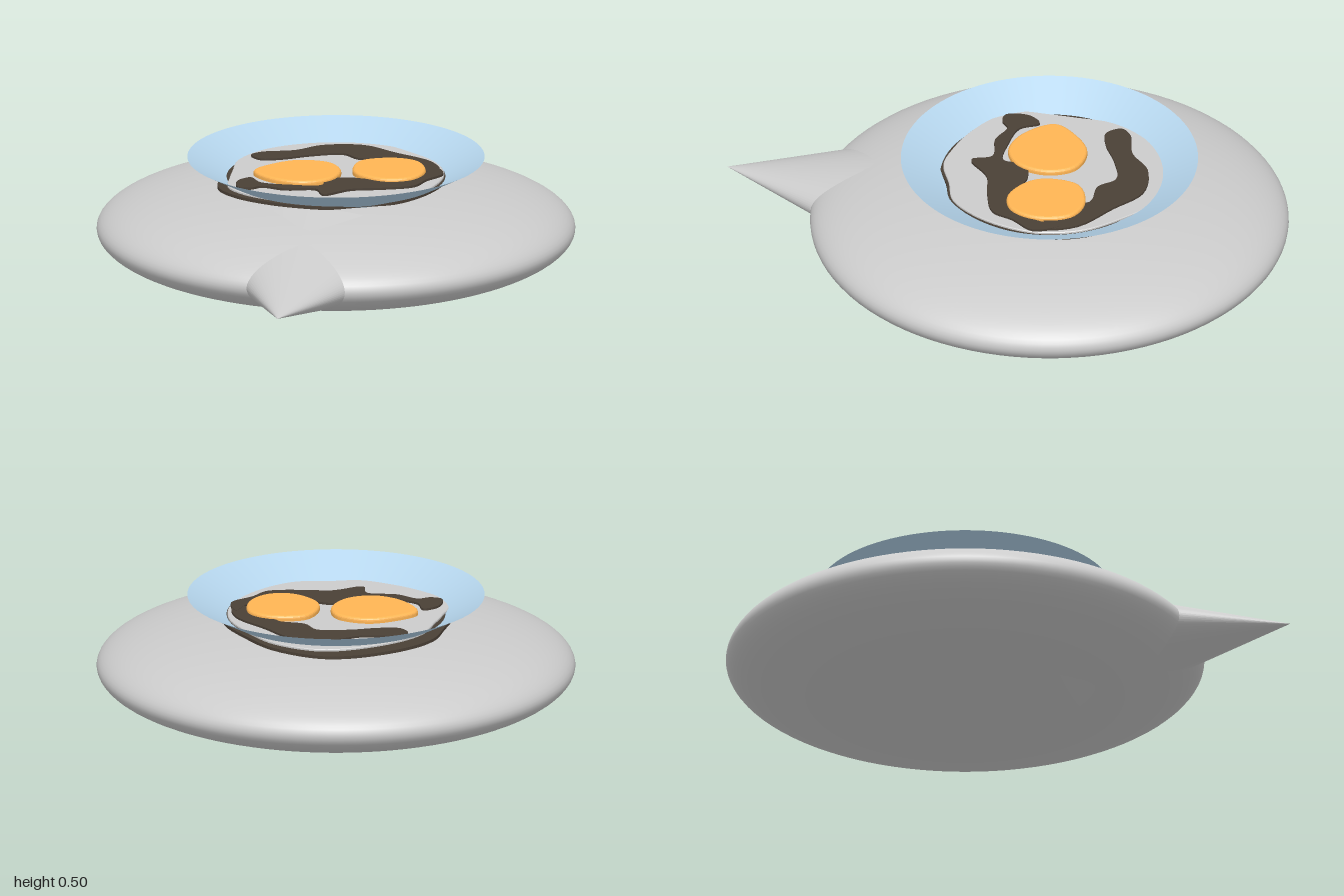
import * as THREE from 'three';

const CX = 0.05; // shared axis of body and bowl

function mesh(name, geometry, color, side = THREE.FrontSide) {
  const m = new THREE.Mesh(geometry, new THREE.MeshStandardMaterial({ color, side }));
  m.name = name;
  return m;
}

// Flat blob with a smooth closed outline; points are x, z in hundredths.
function blob(name, pts, top, depth, bevel, color, steps = 1) {
  const ring = [];
  for (let i = 0; i < pts.length; i += 2) ring.push(new THREE.Vector3(pts[i] / 100, pts[i + 1] / 100, 0));
  const curve = new THREE.CatmullRomCurve3(ring, true);
  const shape = new THREE.Shape(curve.getPoints(ring.length * 5).slice(0, -1).map(p => new THREE.Vector2(p.x, p.y)));
  const geo = new THREE.ExtrudeGeometry(shape, {
    depth, steps: 1, bevelEnabled: bevel > 0, bevelThickness: bevel, bevelSize: bevel,
    bevelOffset: -bevel, bevelSegments: steps
  });
  geo.rotateX(Math.PI / 2);
  geo.translate(0, top - bevel, 0);
  return mesh(name, geo, color);
}

export function createModel() {
  const group = new THREE.Group();

  // Flattened round body
  const body = mesh('body', new THREE.SphereGeometry(1, 96, 48), 0xcccccc);
  body.scale.set(0.945, 0.207, 0.945);
  body.position.set(CX, 0.208, 0);
  group.add(body);

  // Flattened cone sunk into the body, its tip pointing front right
  const length = 0.9;
  const cone = new THREE.ConeGeometry(0.44, length, 64);
  cone.translate(0, -length / 2, 0); // tip at the origin
  cone.rotateX(-Math.PI / 2); // base runs along +z
  cone.scale(1, 0.445, 1);
  const spout = mesh('spout', cone, 0xcccccc);
  spout.position.set(-1, 0.21, 0.81);
  spout.rotation.y = Math.atan2(0.794, -0.608);
  group.add(spout);

  // Shallow flared bowl
  const bowlProfile = [[0, 0.4], [0.396, 0.4], [0.43, 0.418], [0.587, 0.5]].map(p => new THREE.Vector2(...p));
  const bowl = mesh('bowl', new THREE.LatheGeometry(bowlProfile, 96), 0xb5d5ec, THREE.DoubleSide);
  bowl.position.x = CX;
  group.add(bowl);

  // Egg white over a slightly wider browned edge
  const white = [
    5, -45, 27, -43, 38, -37, 47, -21, 48, -5, 46, 13, 39, 26, 30, 34, 14, 41, -2, 42,
    -13, 36, -25, 30, -32, 20, -37, 9, -40, -5, -38, -16, -29, -25, -21, -32, -10, -41
  ];
  const browned = white.map((v, i) => i % 2 ? (v < 0 ? v * 1.16 : v * 1.015) : 5 + (v - 5) * 1.06);
  group.add(blob('brownedEdge', browned, 0.419, 0.012, 0, 0x4a4036));
  group.add(blob('eggWhite', white, 0.428, 0.012, 0.003, 0xcccccc));

  // Two strips of bacon
  const strips = [
    [-3, -41, 3, -41, 14, -34, 27, -32, 39, -21, 41, -5, 43, 14, 37, 25, 30, 20, 28, 8,
      32, 0, 25, -9, 25, -18, 14, -25, 3, -29, -4, -34],
    [-38, -10, -32, -17, -25, -17, -27, -9, -21, 1, -12, 10, -5, 5, 3, 9, 8, 17, 16, 27, 30, 25,
      39, 20, 35, 30, 24, 32, 15, 35, 3, 29, -7, 22, -20, 20, -17, 12, -26, 4, -30, -5, -35, -6]
  ];
  strips.forEach((s, i) => group.add(blob('bacon' + (i + 1), s, 0.436 + i * 0.001, 0.01, 0, 0x4a4036)));

  // Two yolks with rounded rims
  const yolks = [
    [-20, -21, -9, -23, 3, -20, 10, -9, 6, 2, -5, 8, -16, 5, -22, -6],
    [21, -3, 33, 3, 37, 13, 30, 25, 19, 29, 10, 24, 7, 11, 11, 3]
  ];
  yolks.forEach((y, i) => group.add(blob('yolk' + (i + 1), y, 0.45, 0.012, 0.012, 0xffb554, 4)));

  return group;
}
